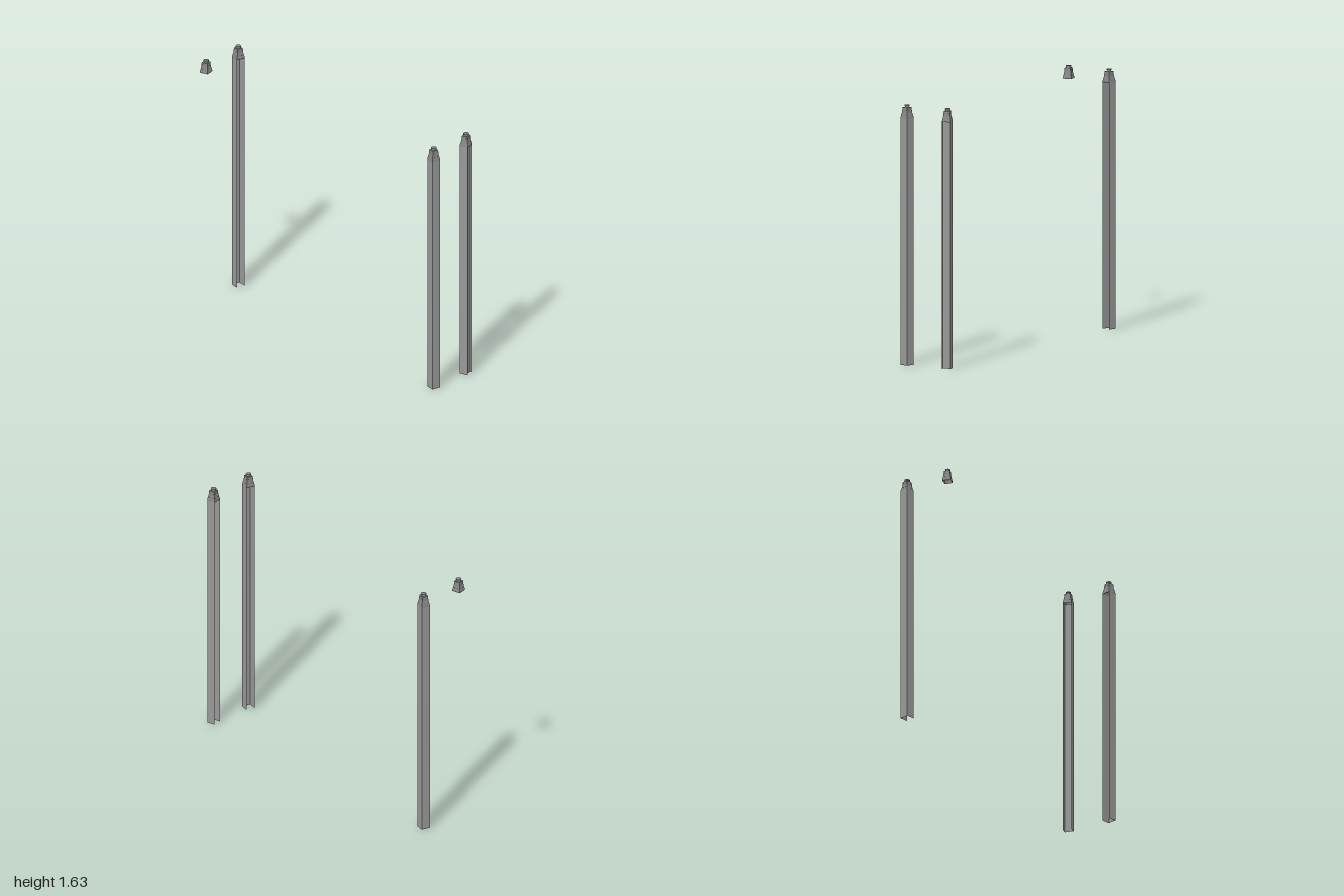
import * as THREE from 'three';

const HALF = 0.028;        // half width of a post
const SHAFT_TOP = 1.56;
const TILT = THREE.MathUtils.degToRad(13);

function makeMetal(color) {
  return new THREE.MeshStandardMaterial({ color, flatShading: true, side: THREE.DoubleSide });
}
const shaftMetal = makeMetal(0x999999);
const capMetal = makeMetal(0x888888);
const boltMetal = makeMetal(0x555555);

function add(parent, name, geometry, material, x = 0, y = 0, z = 0) {
  const mesh = new THREE.Mesh(geometry, material);
  mesh.name = name;
  mesh.position.set(x, y, z);
  parent.add(mesh);
  return mesh;
}

// Square tapering profile: points are [half width, height]
function squareLathe(points) {
  const profile = points.map(([w, y]) => new THREE.Vector2(w * Math.SQRT2, y));
  return new THREE.LatheGeometry(profile, 4, Math.PI / 4);
}

// Thin sheet channel: a web facing outwards and two side flanges
function makeShaft(webZ) {
  const shaft = new THREE.Group();
  shaft.name = 'shaft';
  const sheet = new THREE.PlaneGeometry(HALF * 2, SHAFT_TOP);
  add(shaft, 'web', sheet, shaftMetal, 0, SHAFT_TOP / 2, webZ);
  for (const side of [-1, 1]) {
    add(shaft, 'flange', sheet, shaftMetal, side * HALF, SHAFT_TOP / 2, 0).rotation.y = side * Math.PI / 2;
  }
  return shaft;
}

// Tapered cap with a stepped knob and small bolts on each slope
function makeCap() {
  const cap = new THREE.Group();
  cap.name = 'cap';
  add(cap, 'capBody', squareLathe([
    [HALF, 1.55], [HALF, 1.558], [0.0215, 1.588], [0.0195, 1.617], [0, 1.617],
  ]), capMetal);
  add(cap, 'knobNeck', new THREE.CylinderGeometry(0.014, 0.014, 0.008, 12), capMetal, 0, 1.621, 0);
  add(cap, 'knobTop', new THREE.CylinderGeometry(0.017, 0.017, 0.007, 12), capMetal, 0, 1.6285, 0);

  const bolt = new THREE.CylinderGeometry(0.002, 0.002, 0.002, 6).rotateX(Math.PI / 2);
  for (let i = 0; i < 4; i++) {
    const face = new THREE.Group();
    face.name = 'boltRow';
    face.rotation.y = i * Math.PI / 2;
    for (const x of [-0.011, 0.011]) {
      add(face, 'bolt', bolt, boltMetal, x, 1.574, 0.0248);
      add(face, 'bolt', bolt, boltMetal, x, 1.603, 0.0207);
    }
    cap.add(face);
  }
  return cap;
}

export function createModel() {
  const model = new THREE.Group();
  model.name = 'posts';
  for (const sx of [-1, 1]) {
    for (const sz of [-1, 1]) {
      const post = new THREE.Group();
      post.name = `${sz > 0 ? 'front' : 'back'}${sx > 0 ? 'Left' : 'Right'}Post`;
      post.position.set(sx * 0.1465, 0, sz * 0.9665);
      post.rotation.y = (sz > 0 ? 0 : Math.PI) + sx * sz * TILT;
      post.add(makeCap());
      // The back right post is a cap alone; the front left one has a recessed web
      if (sx > 0 || sz > 0) post.add(makeShaft(sx > 0 && sz > 0 ? HALF * 0.5 : HALF));
      model.add(post);
    }
  }
  return model;
}
